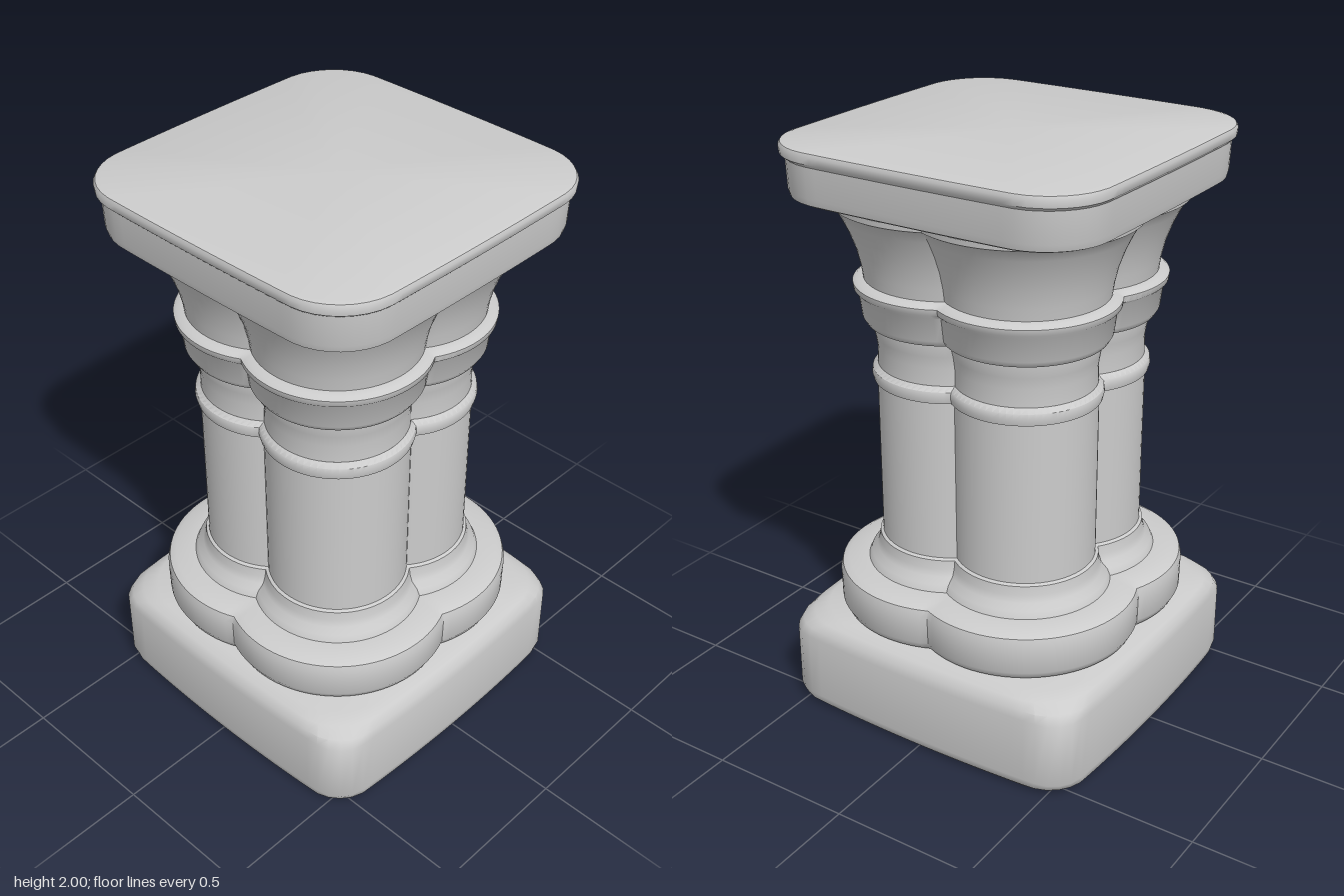
import * as THREE from 'three';
import { toCreasedNormals } from 'three/addons/utils/BufferGeometryUtils.js';

const SEGMENTS = 128;

// Distance to a corner circle of radius r centred at (c, c), folded into every quadrant
function cornerCircle(t, c, r) {
  const q = Math.PI / 2;
  const d = (((t % q) + q) % q) - q / 2;
  const D = c * Math.SQRT2;
  return D * Math.cos(d) + Math.sqrt(Math.max(0, r * r - (D * Math.sin(d)) ** 2));
}

// Four overlapping round shafts set on the diagonals; half = half width
const LOBE = 0.15;
function quatrefoil(t, half) {
  return cornerCircle(t, LOBE, half - LOBE);
}

// Square with rounded corners of radius k
function roundedSquare(t, half, k) {
  const hi = Math.max(Math.abs(Math.cos(t)), Math.abs(Math.sin(t)));
  const lo = Math.min(Math.abs(Math.cos(t)), Math.abs(Math.sin(t)));
  return (half * lo) / hi <= half - k ? half / hi : cornerCircle(t, half - k, k);
}

// Closed loft through rows of [y, half, extra]; bulge bows the sides outward
function loft(rows, outline, bulge = 0) {
  const pos = [];
  const index = [];
  for (const [y, half, extra] of rows) {
    for (let i = 0; i < SEGMENTS; i++) {
      const t = (i / SEGMENTS) * Math.PI * 2;
      const rho = outline(t, half, extra);
      const x = rho * Math.cos(t);
      const z = -rho * Math.sin(t);
      pos.push(x * (1 - bulge * z * z), y, z * (1 - bulge * x * x));
    }
  }
  const last = rows.length - 1;
  const bottom = rows.length * SEGMENTS;
  pos.push(0, rows[0][0], 0, 0, rows[last][0], 0);
  for (let i = 0; i < SEGMENTS; i++) {
    const n = (i + 1) % SEGMENTS;
    for (let j = 0; j < last; j++) {
      const a = j * SEGMENTS + i, b = j * SEGMENTS + n;
      index.push(a, b, b + SEGMENTS, a, b + SEGMENTS, a + SEGMENTS);
    }
    index.push(bottom, n, i);
    index.push(bottom + 1, last * SEGMENTS + i, last * SEGMENTS + n);
  }
  const g = new THREE.BufferGeometry();
  g.setAttribute('position', new THREE.Float32BufferAttribute(pos, 3));
  g.setIndex(index);
  return toCreasedNormals(g, 0.7);
}

export function createModel() {
  const group = new THREE.Group();
  const stone = new THREE.MeshStandardMaterial({ color: 0xcccccc });
  const add = (name, geometry) => {
    const mesh = new THREE.Mesh(geometry, stone);
    mesh.name = name;
    group.add(mesh);
  };

  // Square foot with softened top edges
  add('plinth', loft([
    [0, 0.57, 0.13], [0.015, 0.585, 0.12], [0.04, 0.59, 0.1], [0.27, 0.59, 0.1],
    [0.3, 0.583, 0.13], [0.325, 0.563, 0.17], [0.34, 0.53, 0.2],
  ], roundedSquare, 0.12));

  // Lobed base rings
  add('baseMoulding', loft([
    [0.33, 0.5], [0.345, 0.525], [0.37, 0.538], [0.47, 0.54], [0.495, 0.533], [0.508, 0.51],
    [0.512, 0.44], [0.535, 0.43], [0.555, 0.41], [0.58, 0.402], [0.61, 0.398], [0.618, 0.385],
  ], quatrefoil));

  add('shaft', loft([[0.6, 0.388], [0.9, 0.388], [1.19, 0.388]], quatrefoil));

  add('neckRing', loft([
    [1.178, 0.385], [1.185, 0.4], [1.205, 0.405], [1.225, 0.402], [1.24, 0.385],
  ], quatrefoil));

  add('neck', loft([
    [1.23, 0.385], [1.3, 0.384], [1.34, 0.39], [1.37, 0.397], [1.4, 0.397],
  ], quatrefoil));

  // Collar with a raised upper lip
  add('collar', loft([
    [1.38, 0.39], [1.39, 0.418], [1.41, 0.43], [1.49, 0.44], [1.505, 0.455],
    [1.525, 0.457], [1.535, 0.445], [1.54, 0.42],
  ], quatrefoil));

  // Flaring bell under the top slab
  add('capital', loft([
    [1.52, 0.42], [1.58, 0.428], [1.64, 0.442], [1.7, 0.464], [1.75, 0.488],
    [1.785, 0.508], [1.792, 0.52], [1.81, 0.522], [1.82, 0.505], [1.83, 0.49],
  ], quatrefoil));

  // Rounded square top slab with a thin lip
  add('abacus', loft([
    [1.82, 0.545, 0.2], [1.828, 0.56, 0.2], [1.85, 0.565, 0.2], [1.95, 0.568, 0.2],
    [1.962, 0.58, 0.2], [1.985, 0.582, 0.2], [1.996, 0.577, 0.2], [2, 0.565, 0.2],
  ], roundedSquare, 0.05));

  return group;
}
